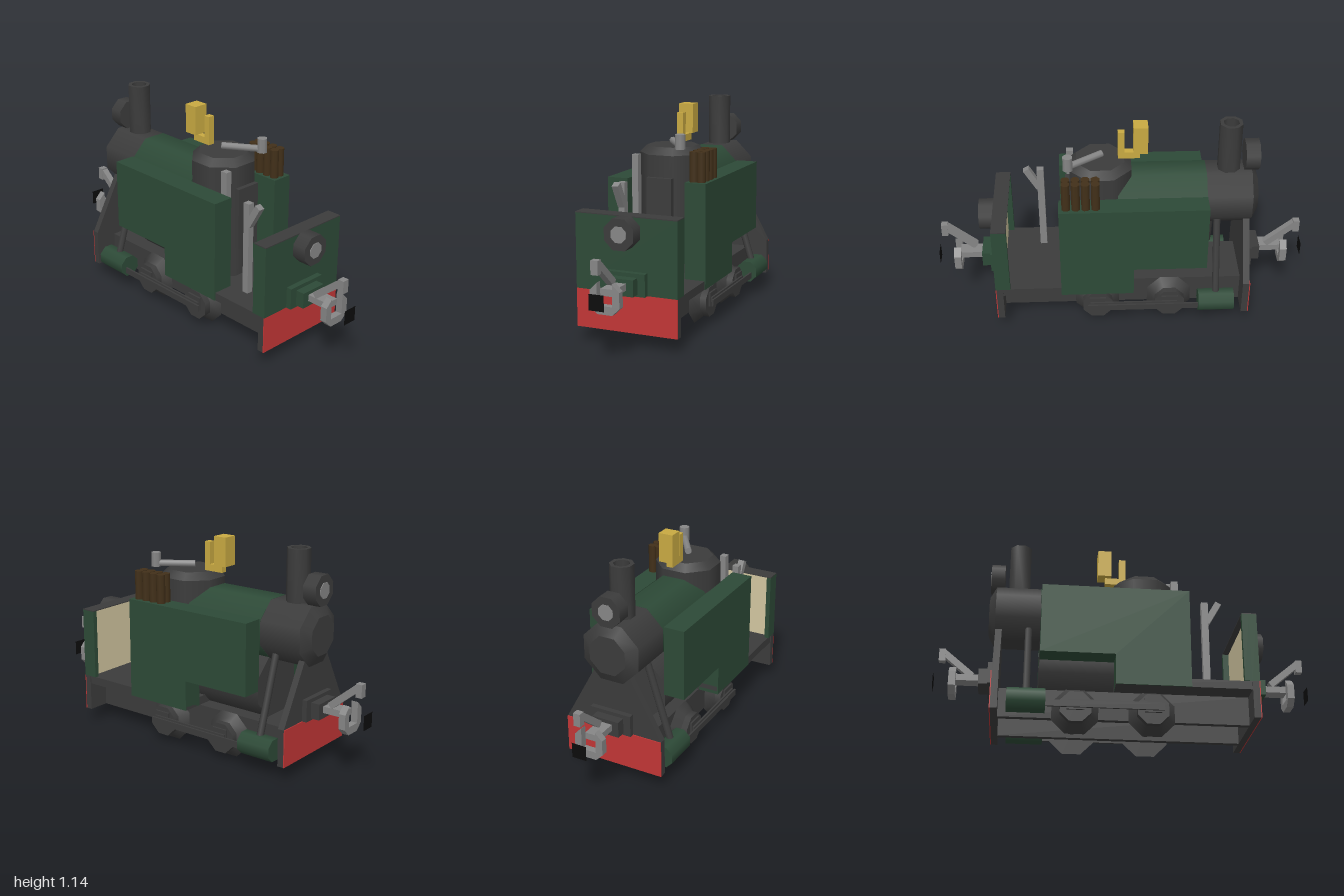
import * as THREE from 'three';
import { toCreasedNormals } from 'three/addons/utils/BufferGeometryUtils.js';

const mat = (name, color) => {
  const m = new THREE.MeshStandardMaterial({ color });
  m.name = name;
  return m;
};

export function createModel() {
  const dark = mat('dark iron', 0x3c3c3c);
  const green = mat('green paint', 0x2d4a37);
  const red = mat('red paint', 0xc23636);
  const steel = mat('steel', 0x868686);
  const brass = mat('brass', 0xc9aa42);
  const wood = mat('wood', 0x423019);
  const cream = mat('cream paint', 0xd2c6a0);
  const black = mat('black', 0x0c0c0c);
  black.side = THREE.DoubleSide;

  const root = new THREE.Group();
  root.name = 'locomotive';
  const add = (name, geo, m, parent = root) => {
    const mesh = new THREE.Mesh(geo, m);
    mesh.name = name;
    parent.add(mesh);
    return mesh;
  };
  // Box given by its limits on each axis
  const box = (name, m, x0, x1, y0, y1, z0, z1, parent) => add(name,
    new THREE.BoxGeometry(x1 - x0, y1 - y0, z1 - z0)
      .translate((x0 + x1) / 2, (y0 + y1) / 2, (z0 + z1) / 2), m, parent);
  // Octagonal drum with flats up; r is measured to the flats
  const drum = (r0, r1, len) => {
    const k = 1 / Math.cos(Math.PI / 8);
    return new THREE.CylinderGeometry(r1 * k, r0 * k, len, 8, 1, false, Math.PI / 8);
  };
  const drumX = (name, m, x0, x1, y, z, r0, r1 = r0) => add(name,
    drum(r0, r1, x1 - x0).rotateZ(-Math.PI / 2).translate((x0 + x1) / 2, y, z), m);
  const drumY = (name, m, x, z, y0, y1, r0, r1 = r0) => add(name,
    drum(r0, r1, y1 - y0).translate(x, (y0 + y1) / 2, z), m);
  // Rod between two points, round or square
  const rod = (name, m, a, b, w, d = 0, parent = root) => {
    const p = new THREE.Vector3(...a), q = new THREE.Vector3(...b);
    const len = p.distanceTo(q);
    const geo = d ? new THREE.BoxGeometry(w, len, d) : drum(w / 2, w / 2, len);
    const mesh = add(name, geo, m, parent);
    mesh.position.copy(p).add(q).multiplyScalar(0.5);
    mesh.quaternion.setFromUnitVectors(new THREE.Vector3(0, 1, 0), q.sub(p).normalize());
    return mesh;
  };
  const outline = pts => new THREE.Shape(pts.map(p => new THREE.Vector2(...p)));
  const slab = (pts, depth) => new THREE.ExtrudeGeometry(outline(pts), { depth, bevelEnabled: false });

  // Frame, deck and end plates
  for (const s of [-1, 1]) box('frameSide', dark, -0.66, 0.65, 0.08, 0.235, s * 0.14 - 0.015, s * 0.14 + 0.015);
  box('frameFloor', dark, -0.66, 0.65, 0.2, 0.235, -0.13, 0.13);
  box('deck', dark, -0.06, 0.65, 0.235, 0.28, -0.27, 0.27);
  box('rearBeam', dark, 0.645, 0.68, 0.08, 0.28, -0.275, 0.275);
  box('rearBeamPaint', red, 0.68, 0.685, 0.08, 0.28, -0.275, 0.275);
  add('frontPlate', slab([[-0.275, 0.08], [0.275, 0.08], [0.275, 0.28], [0.1, 0.6], [-0.1, 0.6], [-0.275, 0.28]], 0.035)
    .rotateY(Math.PI / 2).translate(-0.688, 0, 0), dark);
  box('frontBeamPaint', red, -0.693, -0.688, 0.08, 0.28, -0.275, 0.275);

  // Cab back sheet
  box('backSheet', green, 0.645, 0.685, 0.28, 0.665, -0.275, 0.275);
  box('backSheetTop', dark, 0.605, 0.685, 0.665, 0.67, -0.275, 0.275);
  box('backSheetLining', cream, 0.638, 0.645, 0.28, 0.664, -0.25, 0.25);
  for (const s of [-1, 1]) box('backSheetFlange', green, 0.605, 0.645, 0.28, 0.665, s * 0.2625 - 0.0125, s * 0.2625 + 0.0125);

  // Boiler, smokebox and lower drum
  drumX('boiler', green, -0.45, 0.02, 0.71, 0, 0.156);
  drumX('smokebox', dark, -0.69, -0.45, 0.71, 0, 0.155);
  drumX('smokeboxDoor', dark, -0.725, -0.69, 0.71, 0, 0.1, 0.155);
  drumX('lowerDrum', dark, -0.45, 0, 0.4, 0, 0.165);

  // Firebox with its domed top and door
  drumY('firebox', dark, 0.108, 0, 0.28, 0.905, 0.162);
  drumY('fireboxTop', dark, 0.108, 0, 0.905, 0.943, 0.162, 0.125);
  box('fireDoor', dark, 0.24, 0.295, 0.45, 0.79, -0.07, 0.07);

  // Open chimney
  const bore = [[0.062, 0.84], [0.062, 1.14], [0.042, 1.14], [0.042, 0.9], [0, 0.9]];
  add('chimney', toCreasedNormals(new THREE.LatheGeometry(
    bore.map(p => new THREE.Vector2(...p)), 8, Math.PI / 8), 0.9).translate(-0.57, 0, 0), dark);

  // Lamps at both ends
  drumX('headLamp', dark, -0.725, -0.65, 0.943, 0, 0.078);
  drumX('headLampLens', steel, -0.729, -0.725, 0.943, 0, 0.04);
  drumX('rearLamp', dark, 0.685, 0.763, 0.592, 0, 0.078);
  drumX('rearLampLens', steel, 0.763, 0.767, 0.592, 0, 0.04);

  // Side tanks, stepped over the front wheels
  const tank = [[-0.45, 0.4], [-0.06, 0.4], [-0.06, 0.235], [0.33, 0.235], [0.33, 0.785], [-0.45, 0.785]];
  for (const z of [0.16, -0.275]) add('sideTank', slab(tank, 0.115).translate(0, 0, z), green);

  // Whistle and brass box
  box('whistleBox', brass, -0.14, -0.065, 0.983, 1.14, -0.04, 0.04);
  box('whistlePipe', brass, -0.1, 0.015, 0.943, 0.98, -0.018, 0.018);
  box('whistleStem', brass, -0.02, 0.015, 0.943, 1.1, -0.018, 0.018);

  // Regulator and cab levers
  rod('regulatorArm', steel, [0.1, 0.963, 0.005], [0.28, 0.963, -0.115], 0.034);
  drumY('regulatorHandle', steel, 0.277, -0.113, 0.945, 1.022, 0.025);
  box('brakePost', steel, 0.25, 0.288, 0.28, 0.905, 0.12, 0.155);
  box('reverserLever', steel, 0.413, 0.45, 0.28, 0.785, 0.12, 0.155);
  rod('reverserGrip', steel, [0.44, 0.665, 0.1375], [0.508, 0.785, 0.1375], 0.035, 0.035);

  // Firewood behind the right tank top
  for (let i = 0; i < 4; i++) for (const z of [-0.195, -0.235])
    drumY('log', wood, 0.138 + i * 0.051, z, 0.76, 0.94, 0.022);

  // Running gear on both sides
  for (const s of [-1, 1]) {
    const alongZ = (name, m, x, y, z0, z1, r0, r1 = r0) => add(name,
      drum(r0, r1, z1 - z0).rotateX(s * Math.PI / 2).translate(x, y, s * (z0 + z1) / 2), m);
    const plate = (name, x0, x1, y0, y1, z0, z1) => box(name, dark, x0, x1, y0, y1,
      Math.min(s * z0, s * z1), Math.max(s * z0, s * z1));
    drumX('steamCylinder', green, -0.61, -0.415, 0.142, s * 0.235, 0.058);
    rod('steamPipe', dark, [-0.512, 0.6, s * 0.1], [-0.512, 0.17, s * 0.235], 0.036);
    for (const x of [-0.26, 0.135]) {
      alongZ('wheelFlange', dark, x, 0.12, 0.155, 0.2, 0.12, 0.08);
      alongZ('wheelTread', dark, x, 0.12, 0.2, 0.235, 0.08);
      plate('crank', x - 0.045, x + 0.045, 0.1, 0.175, 0.235, 0.245);
    }
    plate('couplingRod', -0.3, 0.175, 0.125, 0.15, 0.245, 0.255);
    plate('connectingRod', -0.42, 0.19, 0.105, 0.14, 0.255, 0.265);
  }
  for (const x of [-0.26, 0.135])
    add('axle', drum(0.02, 0.02, 0.32).rotateX(Math.PI / 2).translate(x, 0.12, 0), dark);

  // Couplers; the front one is the rear one turned around
  const ring = [[-0.04, 0.392], [-0.078, 0.354], [-0.078, 0.275], [-0.04, 0.238], [0.04, 0.238],
    [0.078, 0.275], [0.078, 0.354], [0.04, 0.392], [0.04, 0.28], [-0.04, 0.28]];
  for (const [name, m, turn] of [['rearCoupler', green, 0], ['frontCoupler', dark, Math.PI]]) {
    const g = new THREE.Group();
    g.name = name;
    g.rotation.y = turn;
    root.add(g);
    box('mountBase', m, 0.68, 0.715, 0.28, 0.395, -0.115, 0.115, g);
    box('mountBlock', m, 0.715, 0.763, 0.29, 0.375, -0.075, 0.075, g);
    box('drawbar', steel, 0.763, 0.885, 0.32, 0.355, -0.038, 0.038, g);
    add('couplerCup', slab(ring, 0.037).rotateY(Math.PI / 2).translate(0.88, 0, 0), steel, g);
    rod('hook', steel, [0.8, 0.365, 0.02], [0.955, 0.495, 0.02], 0.036, 0.036, g);
    box('hookTip', steel, 0.945, 0.98, 0.445, 0.515, 0, 0.038, g);
    add('couplerFace', new THREE.PlaneGeometry(0.08, 0.08).rotateY(Math.PI / 2).translate(1, 0.32, 0), black, g);
  }
  return root;
}
